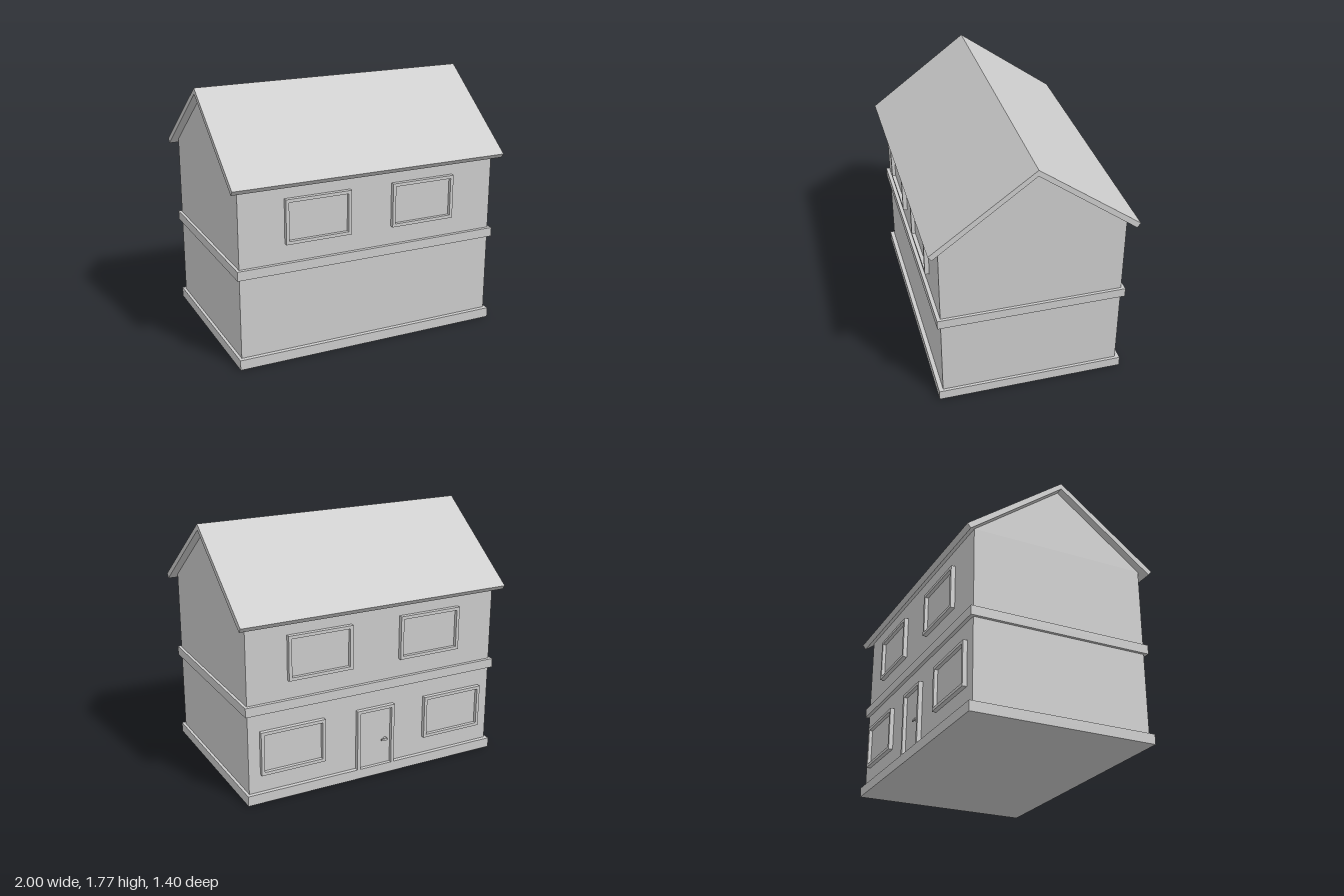
import * as THREE from 'three';

const material = new THREE.MeshStandardMaterial({ color: 0xcccccc, flatShading: true });

function addMesh(parent, name, geometry, x = 0, y = 0, z = 0) {
  const mesh = new THREE.Mesh(geometry, material);
  mesh.name = name;
  mesh.position.set(x, y, z);
  parent.add(mesh);
  return mesh;
}

const box = (w, h, d) => new THREE.BoxGeometry(w, h, d);

// Extrudes a [z, y] gable outline along x, centred on x = 0
function alongX(points, length) {
  const shape = new THREE.Shape(points.map(([z, y]) => new THREE.Vector2(-z, y)));
  return new THREE.ExtrudeGeometry(shape, { depth: length, bevelEnabled: false })
    .translate(0, 0, -length / 2)
    .rotateY(Math.PI / 2);
}

const WALL_Z = 0.625;
const TRIM = 0.022;
const DEPTH = 0.03;

// Window: raised frame around a recessed pane, facing +z with its back on z = 0
function makeWindow(name, w = 0.47, h = 0.31) {
  const group = new THREE.Group();
  group.name = name;
  const frame = new THREE.Shape([
    new THREE.Vector2(-w / 2, -h / 2), new THREE.Vector2(w / 2, -h / 2),
    new THREE.Vector2(w / 2, h / 2), new THREE.Vector2(-w / 2, h / 2),
  ]);
  const a = w / 2 - TRIM, b = h / 2 - TRIM;
  frame.holes.push(new THREE.Path([
    new THREE.Vector2(-a, -b), new THREE.Vector2(-a, b),
    new THREE.Vector2(a, b), new THREE.Vector2(a, -b),
  ]));
  addMesh(group, 'windowFrame', new THREE.ExtrudeGeometry(frame, { depth: DEPTH, bevelEnabled: false }));
  addMesh(group, 'windowPane', box(2 * a, 2 * b, 0.005), 0, 0, 0.0025);
  return group;
}

// Door: frame open at the bottom, panel and lever handle, base on y = 0
function makeDoor(w = 0.29, h = 0.44) {
  const group = new THREE.Group();
  group.name = 'door';
  const a = w / 2, b = a - TRIM;
  const frame = new THREE.Shape(
    [[-a, 0], [-b, 0], [-b, h - TRIM], [b, h - TRIM], [b, 0], [a, 0], [a, h], [-a, h]]
      .map(([x, y]) => new THREE.Vector2(x, y)));
  addMesh(group, 'doorFrame', new THREE.ExtrudeGeometry(frame, { depth: DEPTH, bevelEnabled: false }));
  addMesh(group, 'doorPanel', box(2 * b, h - TRIM, 0.005), 0, (h - TRIM) / 2, 0.0025);
  const stem = new THREE.CylinderGeometry(0.012, 0.012, 0.022, 12).rotateX(Math.PI / 2);
  addMesh(group, 'handleStem', stem, 0.083, 0.185, 0.014);
  addMesh(group, 'handleLever', box(0.045, 0.012, 0.008), 0.068, 0.185, 0.026);
  return group;
}

export function createModel() {
  const house = new THREE.Group();
  house.name = 'house';

  // Walls with gable ends, base plinth and storey band
  addMesh(house, 'walls', alongX(
    [[-WALL_Z, 0.03], [WALL_Z, 0.03], [WALL_Z, 1.264], [0, 1.73], [-WALL_Z, 1.264]], 1.89));
  addMesh(house, 'plinth', box(1.93, 0.07, 1.31), 0, 0.035, 0);
  addMesh(house, 'storeyBand', box(1.93, 0.065, 1.30), 0, 0.6675, 0);

  // Pitched roof slab
  addMesh(house, 'roof', alongX(
    [[0, 1.73], [-0.674, 1.227], [-0.698, 1.258], [0, 1.772], [0.698, 1.258], [0.674, 1.227]], 2));

  // Front facade
  for (const side of [-1, 1]) {
    const upper = makeWindow('frontWindow');
    upper.position.set(side * 0.39, 0.985, WALL_Z);
    house.add(upper);
  }

  // Back facade, turned to face -z
  const back = new THREE.Group();
  back.name = 'backFacade';
  back.rotation.y = Math.PI;
  back.position.z = -WALL_Z;
  for (const side of [-1, 1]) {
    const upper = makeWindow('backUpperWindow');
    upper.position.set(side * 0.42, 0.985, 0);
    const lower = makeWindow('backLowerWindow');
    lower.position.set(side * 0.627, 0.353, 0);
    back.add(upper, lower);
  }
  const door = makeDoor();
  door.position.y = 0.07;
  back.add(door);
  house.add(back);

  return house;
}
